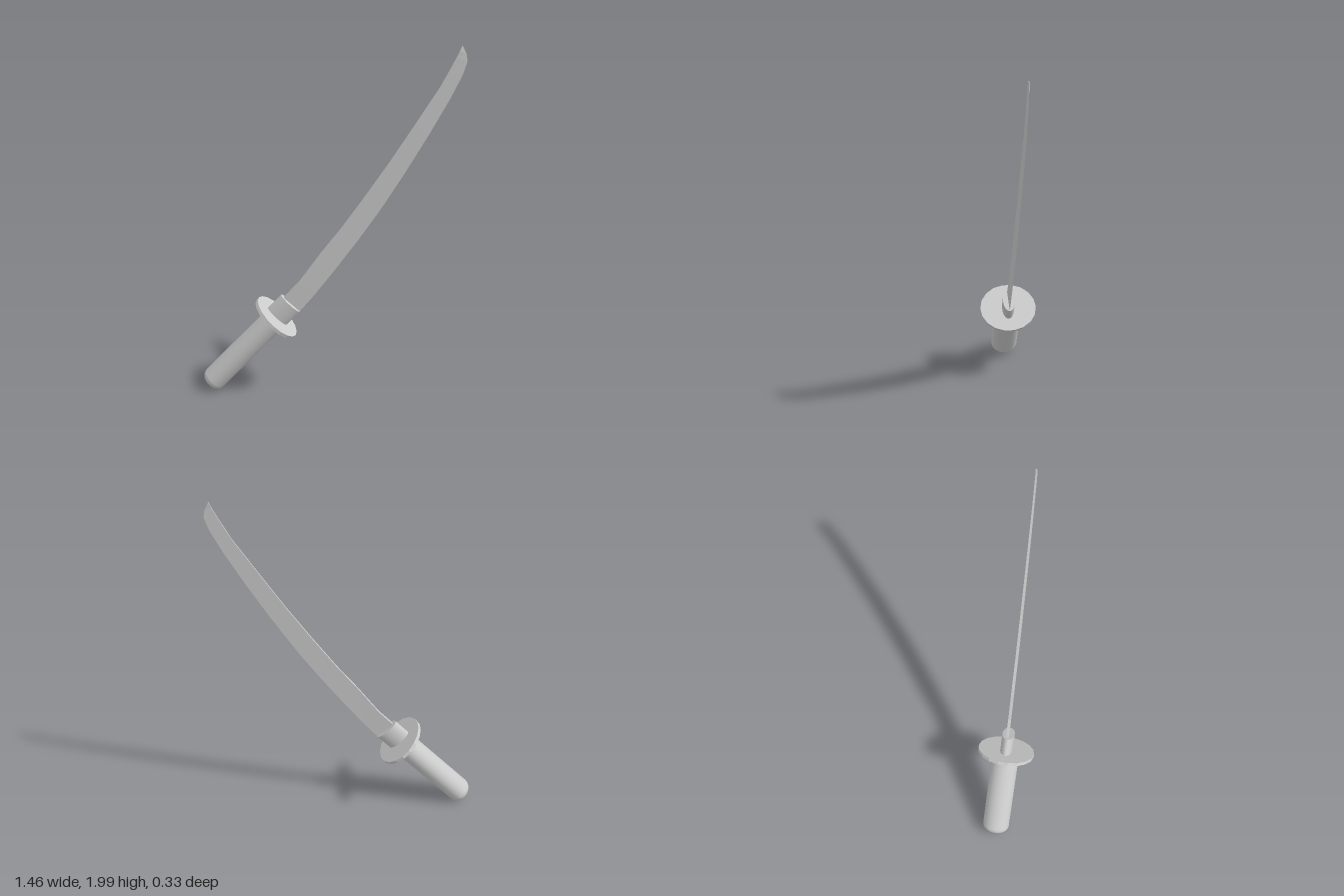
import * as THREE from 'three';

const grey = (opts = {}) => new THREE.MeshStandardMaterial({ color: 0xcccccc, ...opts });

function part(name, geometry, material, parent) {
  const mesh = new THREE.Mesh(geometry, material);
  mesh.name = name;
  parent.add(mesh);
  return mesh;
}

// Curved wedge: thick flat spine, sharp cutting edge, leaning slightly back
function bladeGeometry() {
  // spine x, spine y, edge x, edge y
  const rows = [
    [-0.275, 0.555, -0.185, 0.475],
    [-0.243, 0.593, -0.17, 0.49],
    [-0.175, 0.667, -0.085, 0.592],
    [-0.05, 0.84, 0.03, 0.742],
    [0.063, 0.985, 0.155, 0.912],
    [0.2, 1.178, 0.275, 1.085],
    [0.328, 1.365, 0.41, 1.3],
    [0.465, 1.578, 0.54, 1.52],
    [0.593, 1.78, 0.645, 1.71],
    [0.64, 1.868, 0.709, 1.84],
    [0.677, 1.94, 0.733, 1.915],
    [0.692, 1.972, 0.727, 1.953],
    [0.704, 2.0, 0.705, 1.999],
  ];
  const positions = [];
  const index = [];
  rows.forEach(([sx, sy, ex, ey], i) => {
    const t = (sy - 0.555) / 1.445;
    const z = -0.002 - 0.022 * t;
    const half = 0.009 - 0.005 * t;
    positions.push(sx, sy, z + half, ex, ey, z, sx, sy, z - half);
    if (i === 0) return;
    const a = (i - 1) * 3, b = i * 3;
    for (let k = 0; k < 3; k++) {
      const n = (k + 1) % 3;
      index.push(a + k, a + n, b + n, a + k, b + n, b + k);
    }
  });
  const last = (rows.length - 1) * 3;
  index.push(0, 2, 1, last, last + 1, last + 2);
  const g = new THREE.BufferGeometry();
  g.setAttribute('position', new THREE.Float32BufferAttribute(positions, 3));
  g.setIndex(index);
  const flat = g.toNonIndexed();
  flat.computeVertexNormals();
  return flat;
}

export function createModel() {
  const sword = new THREE.Group();
  sword.name = 'sword';

  // Hilt is built upright about the guard, then leaned over
  const hilt = new THREE.Group();
  hilt.name = 'hilt';
  hilt.position.set(-0.305, 0.452, -0.002);
  hilt.rotation.z = -Math.atan2(0.687, 0.726);
  sword.add(hilt);

  // Oval grip with a rounded butt
  const profile = [new THREE.Vector2(0, -0.568), new THREE.Vector2(0.04, -0.568)];
  for (let i = 1; i <= 5; i++) {
    const a = (i / 5) * Math.PI / 2;
    profile.push(new THREE.Vector2(0.04 + 0.04 * Math.sin(a), -0.528 - 0.04 * Math.cos(a)));
  }
  profile.push(new THREE.Vector2(0.08, 0));
  const grip = new THREE.LatheGeometry(profile, 32);
  grip.scale(0.87, 1, 1);
  part('grip', grip, grey(), hilt);

  // Oval guard plate
  const guard = new THREE.CylinderGeometry(0.167, 0.167, 0.02, 18);
  guard.scale(0.9, 1, 1);
  part('guard', guard, grey({ flatShading: true }), hilt);

  // Flattened collar at the blade root
  const collar = new THREE.CylinderGeometry(0.073, 0.073, 0.12, 20);
  collar.scale(1, 1, 0.5);
  collar.translate(0, 0.061, 0);
  part('collar', collar, grey(), hilt);

  part('blade', bladeGeometry(), grey(), sword);
  return sword;
}
